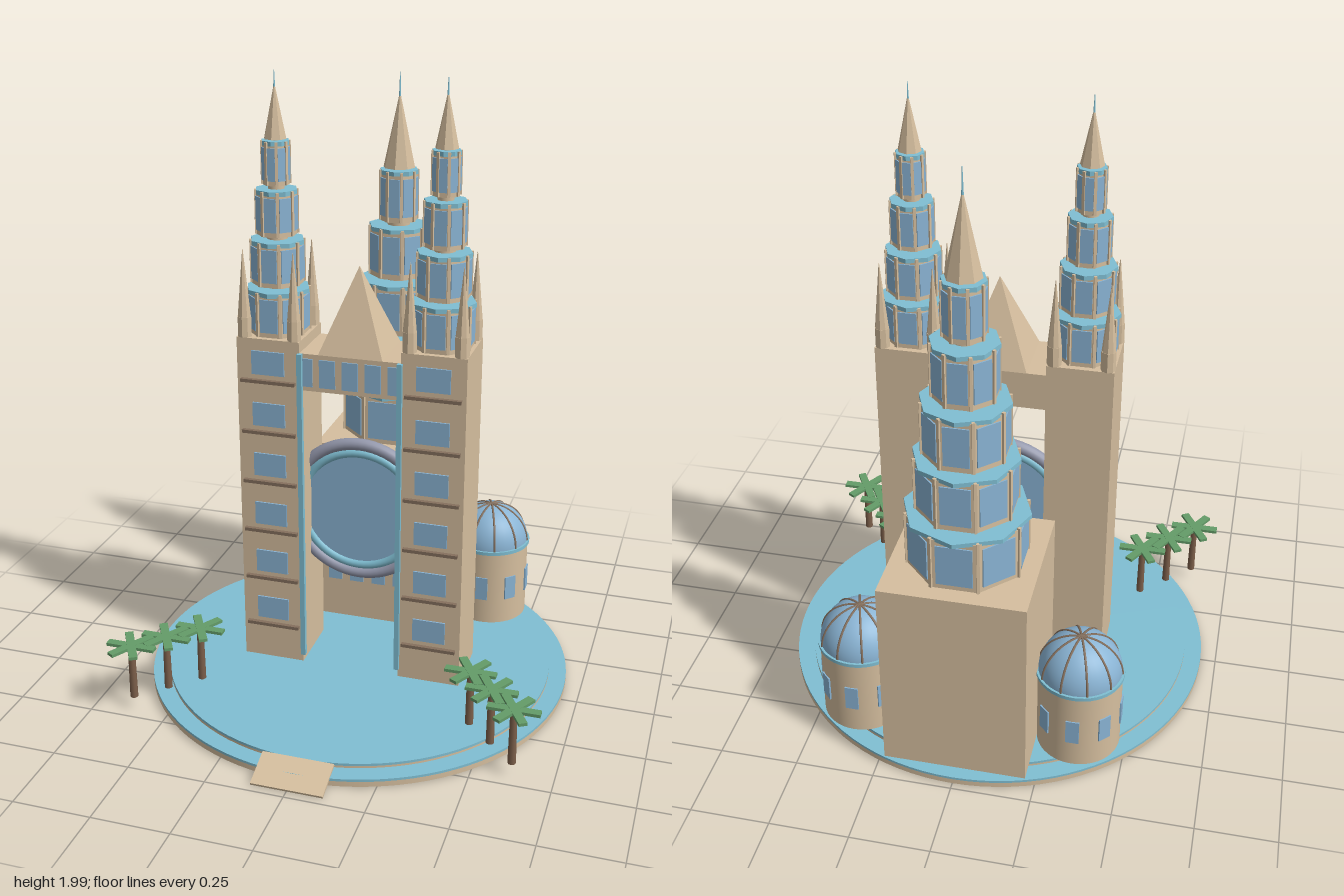
import * as THREE from 'three';

const mat = (name, color, flatShading = false) => {
  const m = new THREE.MeshStandardMaterial({ color });
  m.name = name;
  m.flatShading = flatShading;
  return m;
};

export function createModel() {
  const root = new THREE.Group();
  const stone = mat('stone', 0xd6bf9f);
  const teal = mat('teal', 0x80bfd3);
  const glass = mat('glass', 0x8ab4d4);
  const brown = mat('brown', 0x85705e);
  const metal = mat('ring grey', 0x9498ac);
  const leaf = mat('leaf', 0x649c68);
  const bark = mat('bark', 0x7c5f4a);

  const add = (parent, name, geo, m, x = 0, y = 0, z = 0) => {
    const mesh = new THREE.Mesh(geo, m);
    mesh.name = name;
    mesh.position.set(x, y, z);
    parent.add(mesh);
    return mesh;
  };
  const group = (parent, name, x = 0, y = 0, z = 0) => {
    const g = new THREE.Group();
    g.name = name;
    g.position.set(x, y, z);
    parent.add(g);
    return g;
  };
  const box = (p, name, w, h, d, m, x, y, z) => add(p, name, new THREE.BoxGeometry(w, h, d), m, x, y, z);
  // upright cylinder given by its bottom and top heights
  const cyl = (p, name, r, y0, y1, m, n = 64, rTop = r, turn = 0) =>
    add(p, name, new THREE.CylinderGeometry(rTop, r, y1 - y0, n, 1, false, turn).toNonIndexed(), m, 0, (y0 + y1) / 2, 0);
  // faceted version: each side gets its own flat normal
  const prism = (p, name, r, y0, y1, m, n = 8, rTop = r, turn = 0) => {
    const mesh = cyl(p, name, r, y0, y1, m, n, rTop, turn);
    mesh.geometry.computeVertexNormals();
    return mesh;
  };
  // repeat a part n times around the y axis
  const around = (p, n, start, make) => {
    for (let i = 0; i < n; i++) {
      const a = start + (i / n) * Math.PI * 2;
      make(a).rotation.y = a;
    }
  };

  // Round plinth in two steps
  const base = group(root, 'plinth', 0, 0, -0.03);
  cyl(base, 'lowerStep', 0.7, 0.005, 0.022, stone, 96);
  cyl(base, 'lowerPool', 0.7, 0.022, 0.03, teal, 96);
  cyl(base, 'upperStep', 0.643, 0.03, 0.037, stone, 96);
  cyl(base, 'upperPool', 0.643, 0.037, 0.045, teal, 96);
  const ramp = box(root, 'entranceRamp', 0.228, 0.008, 0.118, stone, 0, 0.026, 0.668);
  ramp.rotation.x = 0.33;

  // Stacked octagonal tiers with windows, corner posts, rims and a spire
  function steeple(p, name, x, z, tiers, spire) {
    const g = group(p, name, x, 0, z);
    for (const [r, y0, y1] of tiers) {
      const h = y1 - y0, apothem = r * Math.cos(Math.PI / 8), side = 2 * r * Math.sin(Math.PI / 8);
      prism(g, 'tierWall', r, y0, y1 - 0.008, stone, 8, r, Math.PI / 8);
      prism(g, 'tierRim', r * 1.05, y1 - 0.014, y1, teal);
      cyl(g, 'tierNeck', r * 0.4, y1, y1 + 0.016, stone, 16);
      around(g, 8, 0, a => box(g, 'tierWindow', side * 0.78, h * 0.74, 0.008, glass,
        Math.sin(a) * apothem, y0 + h * 0.48, Math.cos(a) * apothem));
      around(g, 8, Math.PI / 8, a => box(g, 'tierPost', 0.009, h - 0.004, 0.009, stone,
        Math.sin(a) * r, y0 + h / 2, Math.cos(a) * r));
    }
    const [r, y0, y1, tip] = spire;
    prism(g, 'spire', r, y0, y1, stone, 8, 0.002);
    cyl(g, 'needle', 0.005, y1 - 0.05, tip, teal, 8, 0.001);
  }

  // Pair of front gate towers
  const TX = 0.268, TZ = -0.025;
  for (const s of [-1, 1]) {
    const t = group(root, s > 0 ? 'leftTower' : 'rightTower', s * TX, 0, TZ);
    box(t, 'towerShaft', 0.207, 1.135, 0.217, stone, 0, 0.6125, 0);
    for (let i = 0; i < 6; i++) {
      const y = 0.232 + i * 0.174;
      box(t, 'towerWindow', 0.108, 0.078, 0.008, glass, 0, y, 0.11);
      box(t, 'windowLedge', 0.18, 0.011, 0.018, brown, 0, y - 0.061, 0.113);
    }
    box(t, 'edgeStrip', 0.016, 1.07, 0.016, teal, -s * 0.106, 0.61, 0.113);
    // Corner pinnacles
    for (const px of [-1, 1]) for (const pz of [-1, 1]) {
      const g = group(t, 'pinnacle', px * 0.082, 0, pz * 0.09);
      prism(g, 'pinnacleBase', 0.023, 1.18, 1.245, stone, 8);
      prism(g, 'pinnacleCone', 0.022, 1.245, 1.46, stone, 8, 0.001);
    }
    steeple(t, 'steeple', 0, 0,
      [[0.098, 1.18, 1.325], [0.083, 1.338, 1.48], [0.064, 1.494, 1.637], [0.042, 1.65, 1.786]],
      [0.036, 1.79, 1.95, 1.995]);
  }

  // Bridge between the towers with its pyramid roof
  const bridge = group(root, 'bridge', 0, 0, TZ);
  box(bridge, 'bridgeBeam', 0.33, 0.122, 0.207, stone, 0, 1.083, 0);
  for (let i = -2; i <= 2; i++) box(bridge, 'bridgeWindow', 0.052, 0.092, 0.008, glass, i * 0.074, 1.083, 0.104);
  prism(bridge, 'pyramidRoof', 0.104 * Math.SQRT2, 1.144, 1.41, stone, 4, 0.001, Math.PI / 4);

  // Great round window held between the towers
  const rose = group(root, 'roundWindow', 0, 0.585, TZ);
  add(rose, 'outerRing', new THREE.TorusGeometry(0.23, 0.02, 16, 64), metal);
  add(rose, 'innerRing', new THREE.TorusGeometry(0.2, 0.016, 16, 64), teal);
  add(rose, 'roundPane', new THREE.CylinderGeometry(0.2, 0.2, 0.014, 64), glass).rotation.x = Math.PI / 2;

  // Rear hall and its great steeple
  const HZ = -0.478;
  const hall = group(root, 'rearHall', 0, 0, HZ);
  box(hall, 'hallBlock', 0.448, 0.658, 0.446, stone, 0, 0.374, 0);
  for (let i = -2; i <= 2; i++) box(hall, 'hallWindow', 0.048, 0.43, 0.009, glass, i * 0.0785, 0.405, 0.226);
  steeple(hall, 'greatSteeple', 0, 0,
    [[0.184, 0.7, 0.882], [0.153, 0.893, 1.068], [0.129, 1.08, 1.252], [0.097, 1.266, 1.438], [0.062, 1.452, 1.624]],
    [0.054, 1.63, 1.87, 1.94]);

  // Domed side chapels
  for (const s of [-1, 1]) {
    const g = group(root, s > 0 ? 'leftChapel' : 'rightChapel', s * 0.352, 0, HZ);
    cyl(g, 'chapelWall', 0.132, 0.045, 0.32, stone, 48);
    cyl(g, 'chapelRim', 0.138, 0.312, 0.324, teal, 48);
    add(g, 'dome', new THREE.SphereGeometry(0.131, 40, 16, 0, Math.PI * 2, 0, Math.PI / 2), glass, 0, 0.318, 0);
    around(g, 8, 0, a => box(g, 'chapelWindow', 0.042, 0.085, 0.009, glass,
      Math.sin(a) * 0.131, 0.178, Math.cos(a) * 0.131));
    around(g, 10, 0, () => add(g, 'domeRib',
      new THREE.TorusGeometry(0.131, 0.004, 6, 16, Math.PI / 2), brown, 0, 0.318, 0));
  }

  // Palm trees, three on each side
  for (const s of [-1, 1]) for (let i = 0; i < 3; i++) {
    const g = group(root, 'palm', s * (0.452 + i * 0.084), 0, 0.28 + i * 0.083);
    cyl(g, 'palmTrunk', 0.013, 0.045, 0.228, bark, 10, 0.011);
    for (let k = 0; k < 3; k++)
      box(g, 'palmFrond', 0.162, 0.01, 0.027, leaf, 0, 0.23 + k * 0.0006, 0).rotation.y = (k * Math.PI) / 3;
  }
  return root;
}
